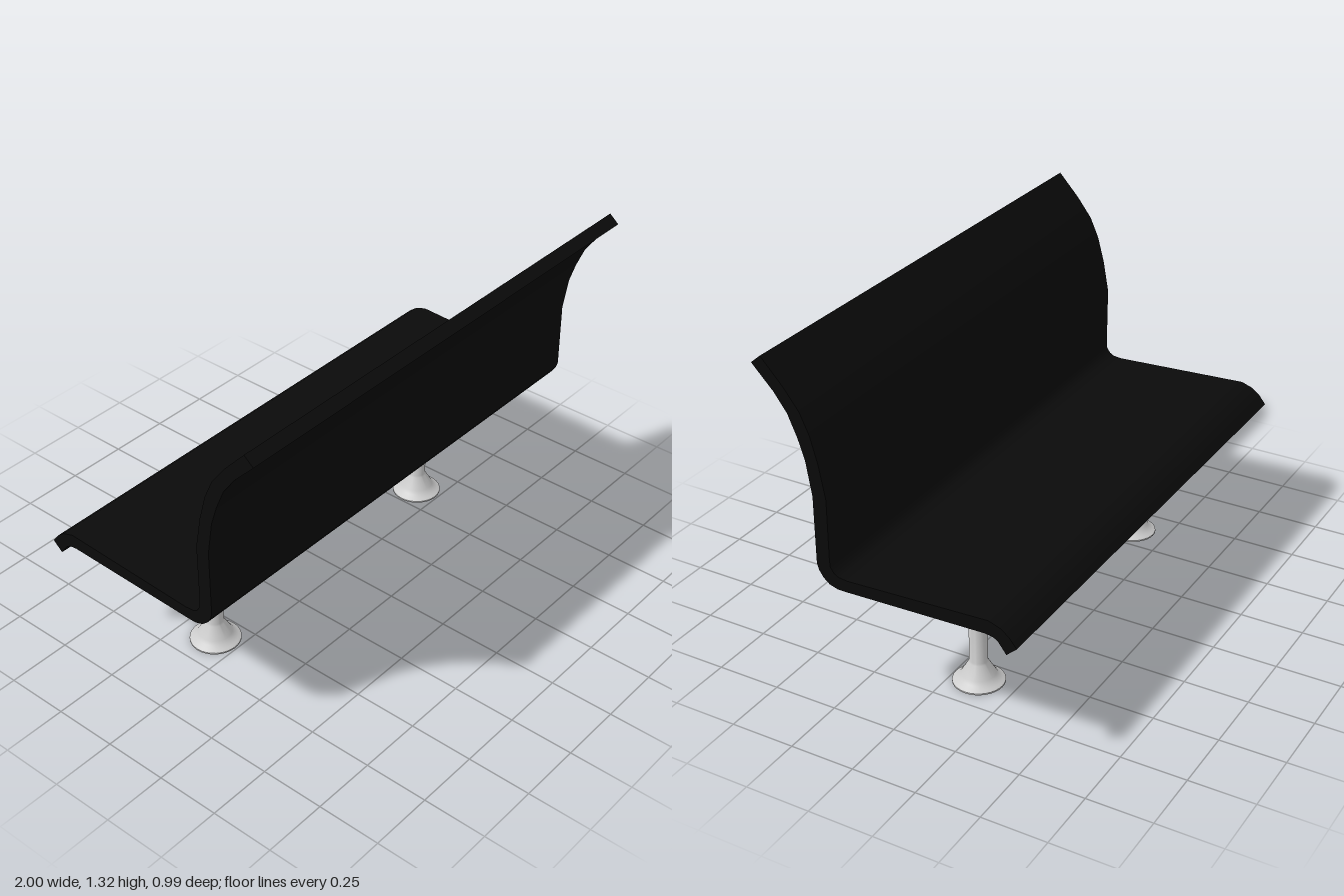
import * as THREE from 'three';
import { toCreasedNormals } from 'three/addons/utils/BufferGeometryUtils.js';

const WIDTH = 2;

// Outer and inner edges of the bent slab as [z, y], backrest top to seat lip
const OUTER = [
  [0.497, 1.286], [0.414, 1.2], [0.365, 1.133], [0.33, 1.052], [0.305, 0.976], [0.284, 0.846],
  [0.284, 0.588], [0.277, 0.564], [0.26, 0.538], [0.236, 0.518], [0.204, 0.508], [0.162, 0.508],
  [-0.375, 0.523], [-0.407, 0.518], [-0.424, 0.507], [-0.455, 0.466],
];
const INNER = [
  [0.459, 1.318], [0.375, 1.227], [0.316, 1.15], [0.281, 1.073], [0.253, 0.972], [0.23, 0.846],
  [0.231, 0.613], [0.229, 0.588], [0.215, 0.567], [0.197, 0.557], [0.162, 0.553],
  [-0.361, 0.575], [-0.389, 0.576], [-0.435, 0.56], [-0.466, 0.536], [-0.494, 0.501],
];

// Post with flared foot as [radius, y]
const POST = [
  [0, 0], [0.097, 0], [0.097, 0.006], [0.086, 0.013], [0.073, 0.022], [0.064, 0.035],
  [0.037, 0.082], [0.034, 0.09], [0.034, 0.53], [0, 0.53],
];

const vectors = (points) => points.map(([a, b]) => new THREE.Vector2(a, b));

export function createModel() {
  const bench = new THREE.Group();
  bench.name = 'bench';
  const black = new THREE.MeshStandardMaterial({ color: 0x0a0a0a });
  const grey = new THREE.MeshStandardMaterial({ color: 0xcccccc });

  // Seat and backrest: one curved slab drawn across the full width
  const profile = new THREE.Shape(vectors([...OUTER, ...[...INNER].reverse()]));
  const slab = new THREE.ExtrudeGeometry(profile, { depth: WIDTH, bevelEnabled: false });
  slab.translate(0, 0, -WIDTH / 2).rotateY(-Math.PI / 2);
  const seat = new THREE.Mesh(toCreasedNormals(slab, 0.7), black);
  seat.name = 'seatAndBackrest';
  bench.add(seat);

  // Two pedestal legs under the seat
  const post = toCreasedNormals(new THREE.LatheGeometry(vectors(POST), 32), 0.7);
  for (const [name, x] of [['leftLeg', 0.602], ['rightLeg', -0.606]]) {
    const leg = new THREE.Mesh(post, grey);
    leg.name = name;
    leg.position.set(x, 0, -0.103);
    bench.add(leg);
  }
  return bench;
}
